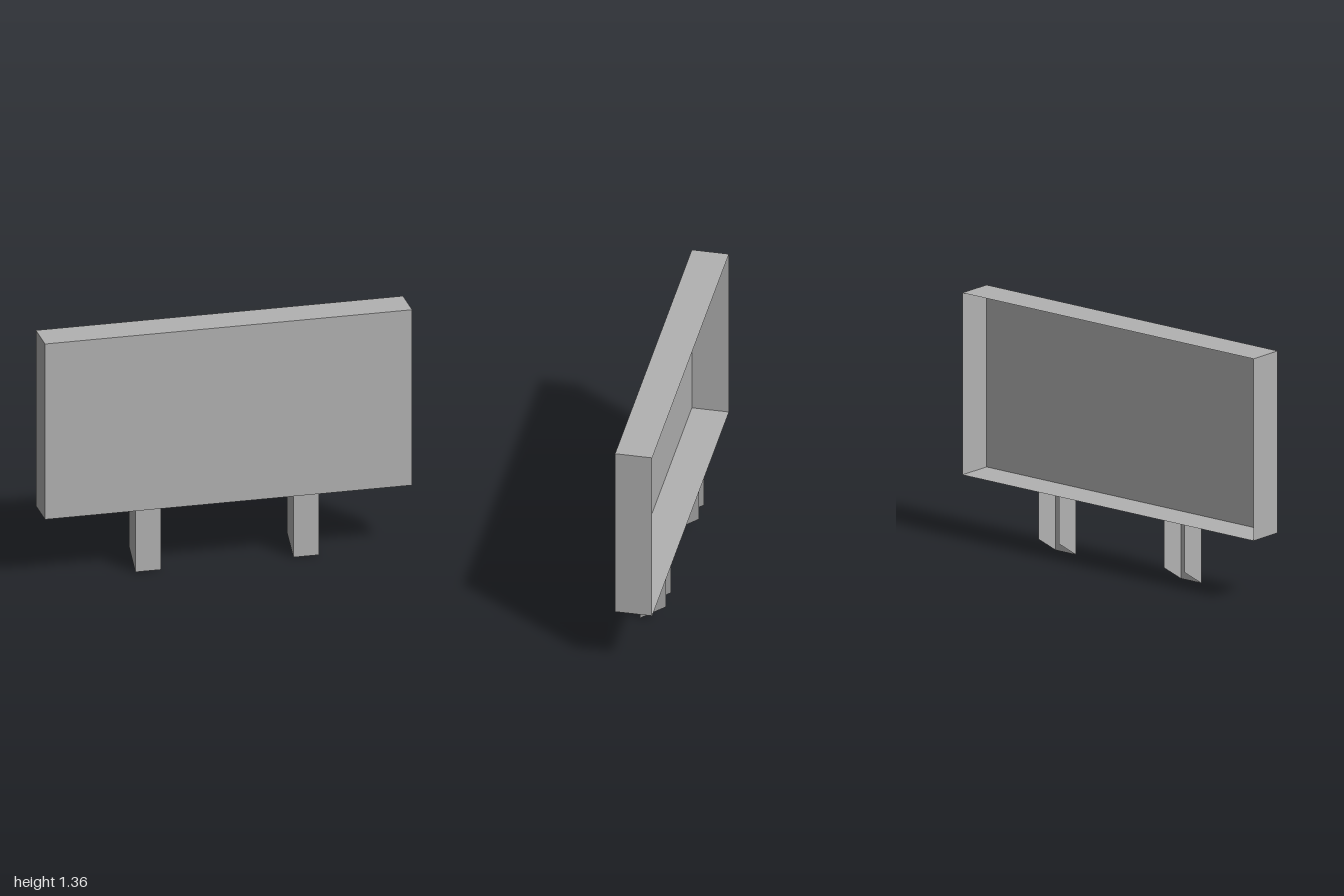
import * as THREE from 'three';

export function createModel() {
  const model = new THREE.Group();
  model.name = 'billboard';
  const grey = new THREE.MeshStandardMaterial({ color: 0xb2b2b2, side: THREE.DoubleSide });
  grey.name = 'plain grey';

  const add = (parent, name, geometry, x, y, z) => {
    const mesh = new THREE.Mesh(geometry.translate(x, y, z), grey);
    mesh.name = name;
    parent.add(mesh);
  };
  // Upright sheet facing sideways, outlined by [z, y] points
  const sideSheet = (points) =>
    new THREE.ShapeGeometry(new THREE.Shape(points.map(([z, y]) => new THREE.Vector2(z, y))))
      .rotateY(-Math.PI / 2);

  const top = 1.36, base = 0.36, depth = 0.1;

  // Sign: a thin tray, open at the back
  const sign = new THREE.Group();
  sign.name = 'signTray';
  model.add(sign);
  add(sign, 'frontPanel', new THREE.PlaneGeometry(2, top - base), 0, (top + base) / 2, depth);
  add(sign, 'topRim', new THREE.PlaneGeometry(2, 2 * depth).rotateX(-Math.PI / 2), 0, top, 0);
  add(sign, 'bottomRim', new THREE.PlaneGeometry(2, 2 * depth).rotateX(Math.PI / 2), 0, base, 0);
  for (const s of [-1, 1]) {
    const rim = sideSheet([[-depth, base], [depth, base], [depth, top], [-depth, top]]);
    add(sign, s > 0 ? 'leftRim' : 'rightRim', rim, s, 0, 0);
  }

  // Legs: channels open at the back, with the foot cut at a slant
  const legDepth = 0.07, legWidth = 0.14;
  for (const s of [-1, 1]) {
    const leg = new THREE.Group();
    leg.name = s > 0 ? 'leftLeg' : 'rightLeg';
    leg.position.x = s * 0.43;
    model.add(leg);
    add(leg, 'legFront', new THREE.PlaneGeometry(legWidth, base), 0, base / 2, legDepth);
    for (const side of [-1, 1]) {
      const sheet = sideSheet([[legDepth, 0], [legDepth, base], [-legDepth, base], [-legDepth, 0.09]]);
      add(leg, 'legSide', sheet, side * legWidth / 2, 0, 0);
    }
  }
  return model;
}
